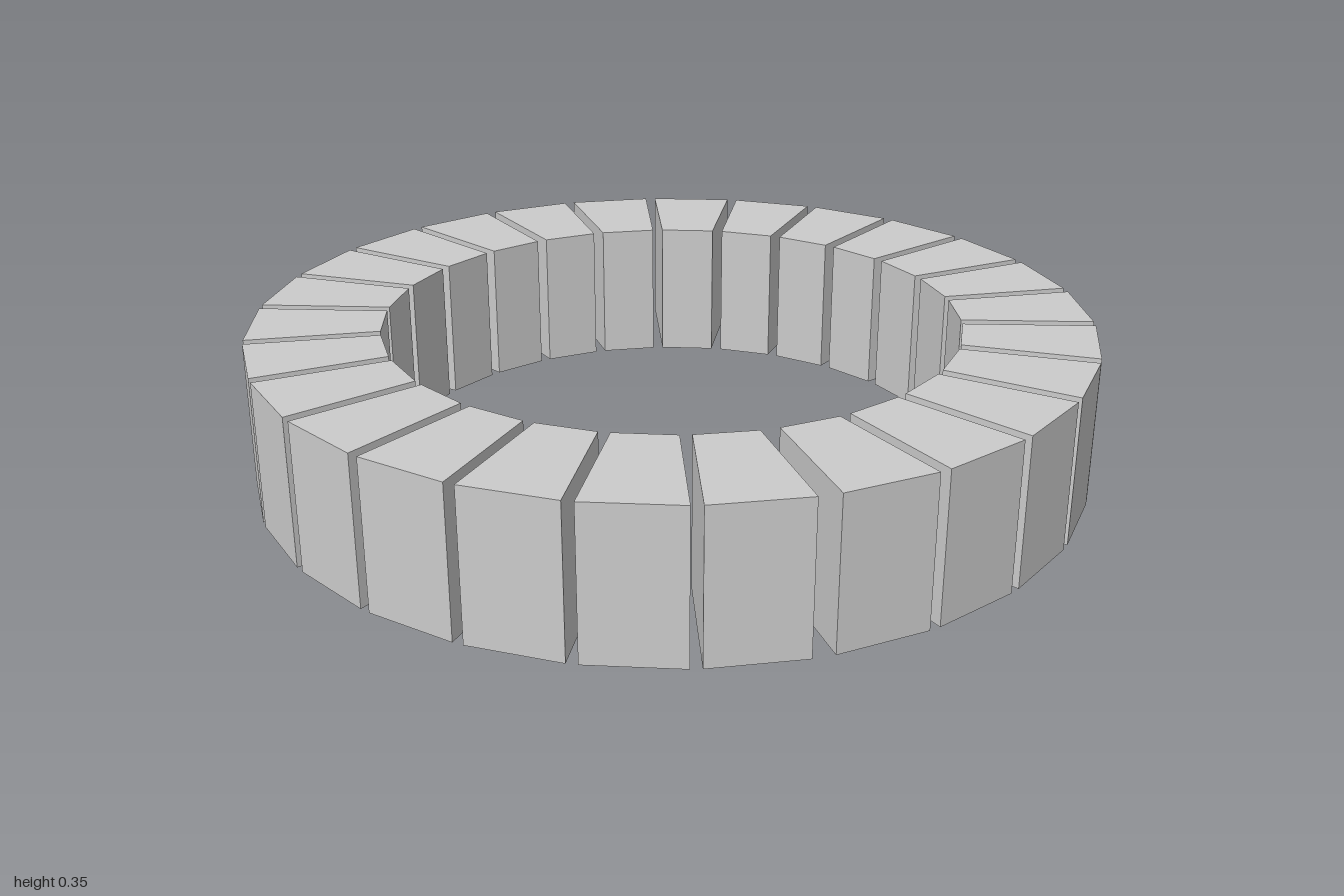
import * as THREE from 'three';

const HEIGHT = 0.35, OUTER = 1, INNER = 0.687, GAP = 0.026;
const WEDGE = THREE.MathUtils.degToRad(13.82);

// One wedge block: its first side runs parallel to the radius at the gap
// distance, its second side lies on the radius at the wedge angle.
function blockGeometry() {
  const s = Math.sin(WEDGE), c = Math.cos(WEDGE);
  const shape = new THREE.Shape([
    new THREE.Vector2(GAP, INNER),
    new THREE.Vector2(INNER * s, INNER * c),
    new THREE.Vector2(OUTER * s, OUTER * c),
    new THREE.Vector2(GAP, Math.sqrt(OUTER * OUTER - GAP * GAP)),
  ]);
  const geo = new THREE.ExtrudeGeometry(shape, { depth: HEIGHT, bevelEnabled: false });
  return geo.rotateX(-Math.PI / 2);
}

export function createModel() {
  const ring = new THREE.Group();
  ring.name = 'blockRing';
  const material = new THREE.MeshStandardMaterial({ color: 0xcccccc, flatShading: true });
  const geometry = blockGeometry();

  // 26 blocks run clockwise from the back; the two halves have slightly
  // different pitches and leave one wider joint near the front right.
  for (let i = 0; i < 26; i++) {
    const degrees = i < 14 ? i * 13.82 : 360 - 13.82 - (25 - i) * 13.76;
    const block = new THREE.Mesh(geometry, material);
    block.name = `block${i + 1}`;
    block.rotation.y = -THREE.MathUtils.degToRad(degrees);
    ring.add(block);
  }
  return ring;
}
